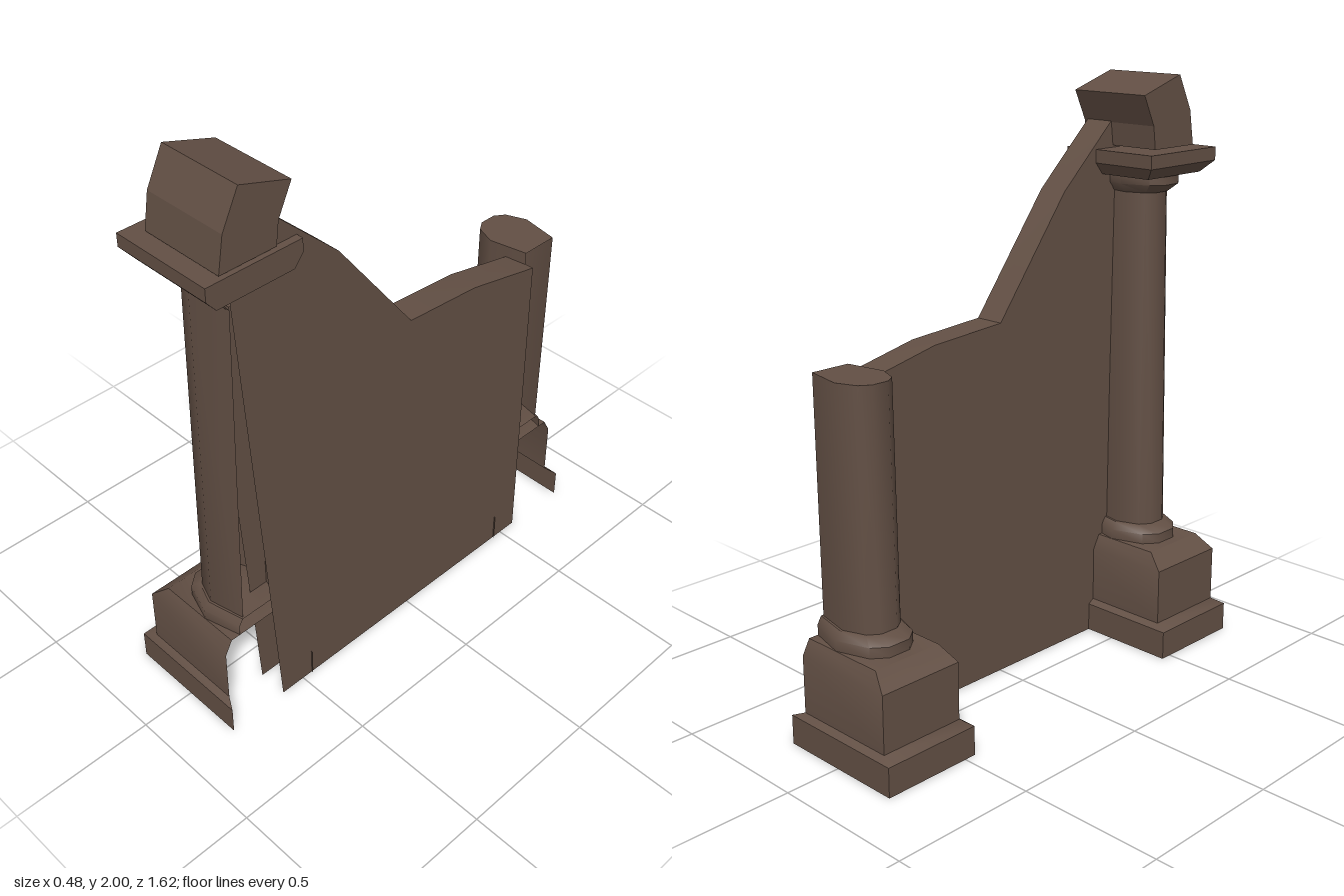
import * as THREE from 'three';
import { toCreasedNormals } from 'three/addons/utils/BufferGeometryUtils.js';

const stone = new THREE.MeshStandardMaterial({ color: 0x624f44, side: THREE.DoubleSide });
stone.name = 'brown stone';

// Skin a stack of cross-sections, each a list of [x, y, z] points
function loft(name, rows, crease = 0.85) {
  const n = rows[0].length, index = [];
  for (let i = 0; i < rows.length - 1; i++) {
    for (let j = 0; j < n - 1; j++) {
      const a = i * n + j, b = a + 1, d = a + n, c = d + 1;
      index.push(a, d, c, a, c, b);
    }
  }
  const geo = new THREE.BufferGeometry();
  geo.setAttribute('position', new THREE.Float32BufferAttribute(rows.flat(2), 3));
  geo.setIndex(index);
  const mesh = new THREE.Mesh(toCreasedNormals(geo, crease), stone);
  mesh.name = name;
  return mesh;
}

// Square section, open towards +x
const square = (y, x0, x1, h) => [[x1, y, h], [x0, y, h], [x0, y, -h], [x1, y, -h]];
// Square section closed all round
const closed = (y, x0, x1, h) => [...square(y, x0, x1, h), [x1, y, h]];
// Partial octagon, cut off at x1
function octagon(y, x0, x1, h) {
  const mid = 0.05, q = x0 + 0.25 * (mid - x0);
  const half = [[x1, 0.73 * h], [mid, h], [q, 0.7 * h], [x0, 0.32 * h]];
  return [...half.map(([x, z]) => [x, y, z]),
    ...half.slice().reverse().map(([x, z]) => [x, y, -z])];
}

// Pedestal, foot ring and shaft shared by both columns
function column(name, z, shaftTop, topX0, topX1, topH) {
  const g = new THREE.Group();
  g.name = name;
  g.position.z = z;
  g.add(loft('pedestal', [
    square(0, -0.24, 0.22, 0.175), square(0.1, -0.24, 0.22, 0.175),
    square(0.115, -0.195, 0.18, 0.153), square(0.31, -0.195, 0.18, 0.153),
    square(0.36, -0.135, 0.18, 0.126), square(0.36, -0.135, 0.18, 0),
  ], 0.7));
  g.add(loft('footRing', [
    octagon(0.36, -0.1, 0.18, 0.125), octagon(0.395, -0.1, 0.18, 0.125),
    octagon(0.42, -0.06, 0.18, 0.105), octagon(0.42, -0.06, 0.18, 0),
  ]));
  g.add(loft('shaft', [
    octagon(0.41, -0.055, 0.175, 0.097), octagon(shaftTop, topX0, topX1, topH),
    octagon(shaftTop, topX0, topX1, 0),
  ]));
  return g;
}

// Side outline from [z, y] points
const outline = pts => new THREE.Shape(pts.map(([z, y]) => new THREE.Vector2(-z, y)));

export function createModel() {
  const model = new THREE.Group();
  model.name = 'ruinedWall';

  // Broken rear column and tall front column
  model.add(column('rearColumn', -0.635, 1.2, -0.045, 0.185, 0.093));
  const front = column('frontColumn', 0.635, 1.62, -0.035, 0.195, 0.082);
  model.add(front);

  // Capital
  front.add(loft('neck', [
    octagon(1.61, -0.04, 0.195, 0.085), octagon(1.64, -0.08, 0.195, 0.11),
    octagon(1.67, -0.08, 0.195, 0.11),
  ]));
  front.add(loft('abacus', [
    closed(1.67, -0.09, 0.24, 0), closed(1.67, -0.09, 0.24, 0.137),
    closed(1.71, -0.13, 0.24, 0.17), closed(1.755, -0.13, 0.24, 0.17),
    closed(1.755, -0.13, 0.24, 0),
  ], 0.5));

  // Broken arch stone on top
  const archGeo = new THREE.ExtrudeGeometry(outline([
    [0.75, 1.762], [0.73, 1.88], [0.67, 2], [0.49, 1.943], [0.54, 1.84], [0.55, 1.762],
  ]), { depth: 0.305, bevelEnabled: false });
  archGeo.rotateY(Math.PI / 2).translate(-0.075, 0, 0);
  const arch = new THREE.Mesh(archGeo, stone);
  arch.name = 'archStone';
  model.add(arch);

  // Wall: two faces and a jagged top strip, open at the ends
  const top = [[0.71, 1.68], [0.69, 1.76], [0.6, 1.85], [0.54, 1.845], [0.31, 1.63],
    [0.01, 1.237], [-0.28, 1.217], [-0.57, 1.155]];
  const face = outline([[0.59, 0], ...top, [-0.57, 0]]);
  for (const [x, turn, name] of [[0.215, 1, 'wallOuterFace'], [0.11, -1, 'wallInnerFace']]) {
    const geo = new THREE.ShapeGeometry(face).rotateY(Math.PI / 2);
    if (turn < 0) {
      // flip the inner face to look towards -x
      geo.setIndex(Array.from(geo.index.array).reverse());
      geo.computeVertexNormals();
    }
    const mesh = new THREE.Mesh(geo, stone);
    mesh.position.x = x;
    mesh.name = name;
    model.add(mesh);
  }
  model.add(loft('wallTop', top.map(([z, y]) => [[0.215, y, z], [0.11, y, z]]).reverse(), 0.2));
  return model;
}
